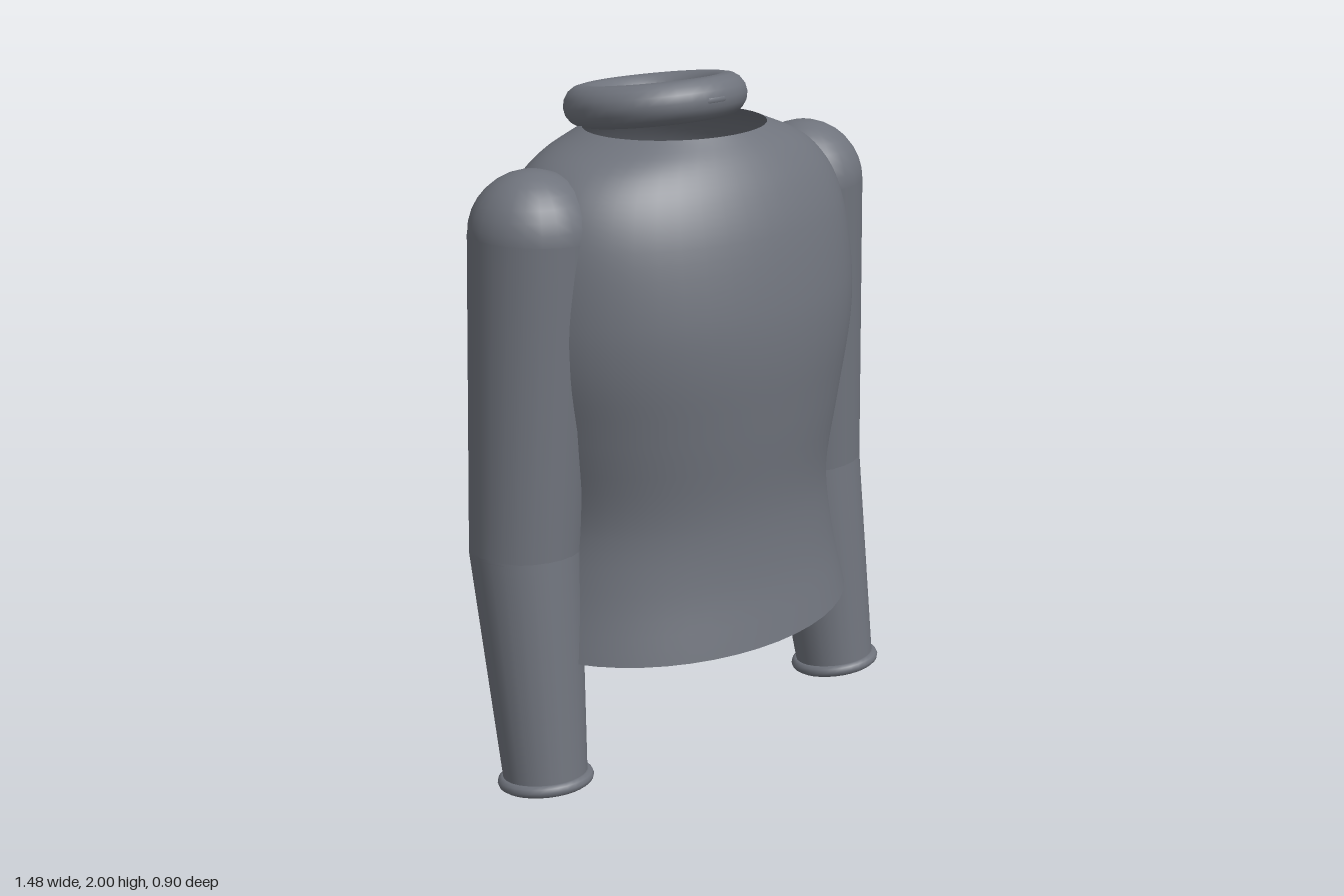
import * as THREE from 'three';
import { mergeVertices } from 'three/addons/utils/BufferGeometryUtils.js';

const V = (x, y, z) => new THREE.Vector3(x, y, z);
const UP = V(0, 1, 0);

export function createModel() {
  const group = new THREE.Group();
  const cloth = new THREE.MeshStandardMaterial({ color: 0x6f737c, side: THREE.DoubleSide });
  cloth.name = 'slate grey cloth';

  const add = (name, geometry, parent = group) => {
    const mesh = new THREE.Mesh(geometry, cloth);
    mesh.name = name;
    parent.add(mesh);
    return mesh;
  };

  // Body: open elliptical shell, sections given as (half width, height, half depth)
  const sections = new THREE.CatmullRomCurve3([
    V(0.58, 0.40, 0.45), V(0.53, 0.60, 0.413), V(0.50, 0.80, 0.402), V(0.54, 1.05, 0.425),
    V(0.58, 1.25, 0.44), V(0.588, 1.40, 0.434), V(0.565, 1.60, 0.397), V(0.52, 1.71, 0.355),
    V(0.44, 1.79, 0.305), V(0.28, 1.86, 0.24),
  ]).getPoints(45);
  const shell = new THREE.LatheGeometry(sections.map((s) => new THREE.Vector2(1, s.y)), 48);
  const pos = shell.attributes.position;
  for (let i = 0; i < pos.count; i++) {
    const s = sections[i % sections.length];
    pos.setXYZ(i, pos.getX(i) * s.x, s.y, pos.getZ(i) * s.z);
  }
  shell.deleteAttribute('uv');
  shell.deleteAttribute('normal');
  const body = mergeVertices(shell);
  body.computeVertexNormals();
  add('body', body);

  // Rolled collar and the thin seam inside it, both tipped back
  const ring = (name, radius, tube, y, z) => {
    const mesh = add(name, new THREE.TorusGeometry(radius, tube, 16, 40).rotateX(Math.PI / 2));
    mesh.position.set(0, y, z);
    mesh.rotation.x = -0.138;
  };
  ring('collar', 0.205, 0.06, 1.915, -0.085);
  ring('collarSeam', 0.165, 0.015, 1.925, 0);

  // Tapered open tube between two joints
  const tube = (name, from, to, rFrom, rTo, parent) => {
    const dir = from.clone().sub(to);
    const mesh = add(name, new THREE.CylinderGeometry(rFrom, rTo, dir.length(), 24, 1, true), parent);
    mesh.position.copy(from).add(to).multiplyScalar(0.5);
    mesh.quaternion.setFromUnitVectors(UP, dir.normalize());
    return mesh;
  };

  // Sleeves
  for (const [side, sx] of [['left', 1], ['right', -1]]) {
    const sleeve = new THREE.Group();
    sleeve.name = side + 'Sleeve';
    group.add(sleeve);
    const shoulder = V(sx * 0.52, 1.62, 0);
    const elbow = V(sx * 0.572, 0.72, 0);
    const wrist = V(sx * 0.6, 0.038, 0.108);

    add('shoulder', new THREE.SphereGeometry(0.18, 24, 16), sleeve).position.copy(shoulder);
    tube('upperSleeve', shoulder, elbow, 0.18, 0.16, sleeve);
    add('elbow', new THREE.SphereGeometry(0.16, 24, 16), sleeve).position.copy(elbow);
    const lower = tube('lowerSleeve', elbow, wrist, 0.16, 0.122, sleeve);

    const cuff = add('cuff', new THREE.TorusGeometry(0.122, 0.018, 10, 32).rotateX(Math.PI / 2), sleeve);
    cuff.position.copy(wrist);
    cuff.quaternion.copy(lower.quaternion);
  }
  return group;
}
